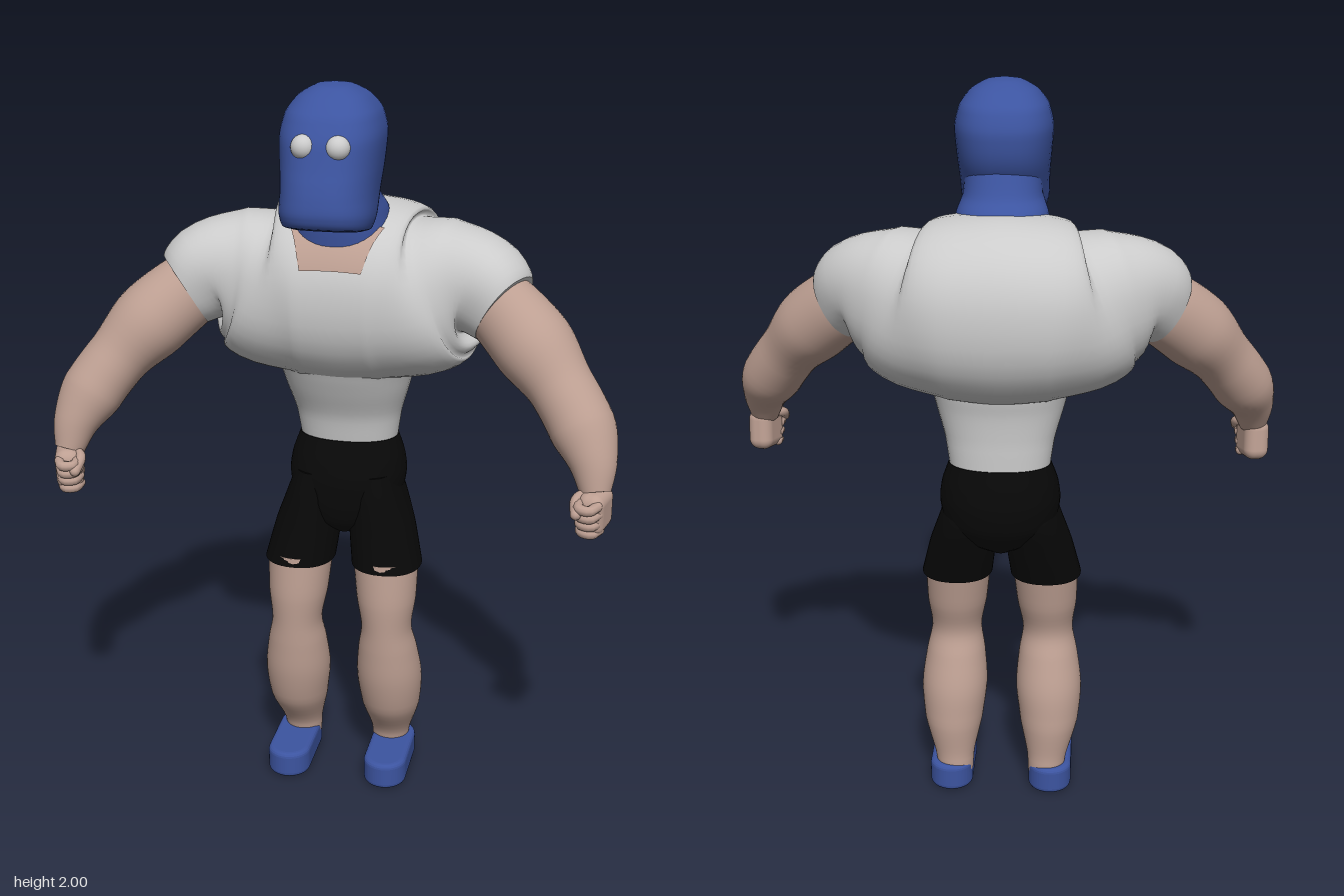
import * as THREE from 'three';
import { ParametricGeometry } from 'three/addons/geometries/ParametricGeometry.js';
import { RoundedBoxGeometry } from 'three/addons/geometries/RoundedBoxGeometry.js';

const mat = (color) => new THREE.MeshStandardMaterial({ color, roughness: 0.8 });
const V = (x, y, z) => new THREE.Vector3(x, y, z);

// Smooth skin through elliptical sections [x, y, z, a, b]; returns point(u, angle, grow).
// level: rings stay horizontal (a along x, b along z); otherwise they follow the path.
function surface(sections, { level = false, n = 2 } = {}) {
  const path = new THREE.CatmullRomCurve3(sections.map((s) => V(s[0], s[1], s[2])));
  const radii = new THREE.CatmullRomCurve3(sections.map((s) => V(s[3], s[4], 0)));
  const bend = (c) => Math.sign(c) * Math.abs(c) ** (2 / n);
  return (u, angle, grow = 1) => {
    const t = level ? V(0, 1, 0) : path.getTangent(u);
    const side = (level ? V(0, 0, 1) : V(0, 1, 0)).cross(t).normalize();
    const up = t.clone().cross(side);
    const r = radii.getPoint(u);
    return path.getPoint(u)
      .addScaledVector(side, r.x * grow * bend(Math.cos(angle)))
      .addScaledVector(up, r.y * grow * bend(Math.sin(angle)));
  };
}

// Closed solid from a surface, with sharp-edged flat ends.
function loft(sections, opts = {}) {
  const point = surface(sections, opts);
  const around = 40, along = (sections.length - 1) * 5;
  const rows = [[0, 0], [0, 1]];
  for (let i = 0; i <= along; i++) rows.push([i / along, 1]);
  rows.push([1, 1], [1, 0]);
  const pos = [], index = [];
  rows.forEach(([u, grow], i) => {
    for (let j = 0; j < around; j++) {
      pos.push(...point(u, (j / around) * Math.PI * 2, grow).toArray());
      if (i === rows.length - 1) continue;
      const a = i * around + j, b = i * around + ((j + 1) % around);
      index.push(a, b, b + around, a, b + around, a + around);
    }
  });
  const g = new THREE.BufferGeometry();
  g.setAttribute('position', new THREE.Float32BufferAttribute(pos, 3));
  g.setIndex(index);
  g.computeVertexNormals();
  return g;
}

// Horizontal rings listed bottom to top as [y, centreX, halfWidth, zBack, zFront].
const stack = (rings, n = 2.2) => loft(
  rings.map(([y, x, w, z0, z1]) => [x, y, (z0 + z1) / 2, w, (z1 - z0) / 2]),
  { level: true, n });

export function createModel() {
  const model = new THREE.Group();
  const shirt = mat(0xcccccc), skin = mat(0xbd9f92), blue = mat(0x3c54a0), black = mat(0x080808);
  const white = mat(0xcccccc);
  const add = (name, geometry, material) => {
    const m = new THREE.Mesh(geometry, material);
    m.name = name;
    model.add(m);
    return m;
  };

  // Chest and sleeves: one sweep from sleeve to sleeve
  const half = [
    [0, 1.43, -0.08, 0.25, 0.25], [0.12, 1.43, -0.075, 0.245, 0.24],
    [0.22, 1.43, -0.06, 0.21, 0.215], [0.3, 1.455, -0.045, 0.16, 0.18],
    [0.37, 1.46, -0.02, 0.125, 0.14], [0.43, 1.42, 0.01, 0.097, 0.106],
  ];
  const chest = [...half.slice(1).reverse().map(([x, ...r]) => [-x, ...r]), ...half];
  add('chestAndSleeves', loft(chest, { n: 2.2 }), shirt);
  add('waist', stack([
    [1.0, 0, 0.135, -0.185, -0.005], [1.08, 0, 0.147, -0.185, 0.01],
    [1.16, 0, 0.17, -0.19, 0.045], [1.22, 0, 0.187, -0.2, 0.07],
    [1.31, 0, 0.23, -0.2, 0.1], [1.4, 0, 0.2, -0.2, 0.08],
  ]), shirt);

  // Open neckline: a patch lying on the chest, narrower at the bottom
  const chestPoint = surface(chest, { n: 2.2 });
  const neckline = skin.clone();
  neckline.side = THREE.DoubleSide;
  add('neckline', new ParametricGeometry((u, v, target) => {
    const width = 0.08 + 0.035 * v;
    target.copy(chestPoint(0.5 + (u * 2 - 1) * width, Math.PI - 0.38 - 0.6 * v, 1.012));
  }, 20, 10), neckline);

  // Neck and masked head
  add('neck', stack([
    [1.575, 0, 0.135, -0.12, 0.125], [1.62, 0, 0.13, -0.125, 0.13],
    [1.67, 0, 0.12, -0.115, 0.135], [1.71, 0, 0.105, -0.075, 0.15],
    [1.78, 0, 0.1, -0.045, 0.18],
  ]), blue);
  const head = stack([
    [1.638, 0, 0.09, 0.08, 0.26], [1.645, 0, 0.108, 0.06, 0.295],
    [1.68, 0, 0.118, 0.03, 0.308], [1.74, 0, 0.12, -0.02, 0.302],
    [1.8, 0, 0.125, -0.06, 0.288], [1.87, 0, 0.13, -0.07, 0.268],
    [1.93, 0, 0.118, -0.05, 0.235], [1.97, 0, 0.087, -0.005, 0.19],
    [1.993, 0, 0.045, 0.045, 0.145], [2.0, 0, 0.004, 0.09, 0.1],
  ], 2.5);
  // Tilt the jaw so the chin rises toward the front
  const p = head.attributes.position;
  for (let i = 0; i < p.count; i++) {
    const k = THREE.MathUtils.clamp((1.8 - p.getY(i)) / 0.15, 0, 1);
    p.setY(i, p.getY(i) + 0.18 * k * (p.getZ(i) - 0.13));
  }
  head.computeVertexNormals();
  add('head', head, blue);

  // Hips of the shorts
  add('shortsHips', stack([
    [0.74, 0, 0.03, -0.1, 0.0], [0.78, 0, 0.1, -0.165, 0.045],
    [0.84, 0, 0.152, -0.208, 0.056], [0.9, 0, 0.163, -0.216, 0.053],
    [0.95, 0, 0.158, -0.208, 0.035], [1.01, 0, 0.138, -0.188, 0.0],
  ]), black);

  for (const s of [1, -1]) {
    const side = s > 0 ? 'left' : 'right';
    const put = (name, geometry, material) => add(side + name, geometry, material);
    const mirrored = (rings) => rings.map(([y, x, ...r]) => [y, s * x, ...r]);

    put('Eye', new THREE.SphereGeometry(0.031, 24, 16), white).position.set(s * 0.043, 1.865, 0.25);

    put('ShortsLeg', stack(mirrored([
      [0.655, 0.124, 0.098, -0.118, 0.086], [0.76, 0.105, 0.091, -0.155, 0.068],
      [0.85, 0.09, 0.075, -0.18, 0.055], [0.92, 0.08, 0.06, -0.16, 0.035],
    ])), black);
    put('Leg', stack(mirrored([
      [0.05, 0.13, 0.05, -0.12, -0.02], [0.1, 0.133, 0.056, -0.117, -0.01],
      [0.2, 0.137, 0.083, -0.122, 0.055], [0.3, 0.135, 0.093, -0.112, 0.08],
      [0.4, 0.132, 0.083, -0.083, 0.088], [0.47, 0.13, 0.071, -0.062, 0.09],
      [0.56, 0.127, 0.084, -0.085, 0.093], [0.68, 0.122, 0.092, -0.108, 0.083],
    ]), 2), skin);

    // Shoe: round-ended sole outline with softened edges
    const r = 0.047, shape = new THREE.Shape();
    shape.absarc(0, 0.078, r, 0, Math.PI);
    shape.absarc(0, -0.068, r, Math.PI, Math.PI * 2);
    const shoe = new THREE.ExtrudeGeometry(shape, {
      depth: 0.05, bevelSize: 0.014, bevelThickness: 0.014, bevelSegments: 4, curveSegments: 16,
    });
    shoe.rotateX(-Math.PI / 2).translate(s * 0.142, 0.014, 0.008);
    put('Shoe', shoe, blue);

    // Arm from inside the sleeve to the wrist
    put('Arm', loft([
      [0.39, 1.44, -0.01, 0.09, 0.095], [0.44, 1.405, 0.015, 0.098, 0.102],
      [0.515, 1.34, 0.06, 0.108, 0.105], [0.595, 1.25, 0.11, 0.088, 0.084],
      [0.655, 1.165, 0.155, 0.088, 0.083], [0.69, 1.09, 0.2, 0.064, 0.06],
      [0.702, 1.02, 0.23, 0.04, 0.04],
    ].map(([x, ...q]) => [s * x, ...q])), skin);

    // Fist: palm, curled fingers and thumb
    const hand = new THREE.Group();
    hand.name = side + 'Hand';
    hand.position.set(s * 0.703, 0.975, 0.235);
    hand.rotation.set(0.1, -s * 0.3, 0);
    const part = (name, geometry) => {
      const m = new THREE.Mesh(geometry, skin);
      m.name = name;
      hand.add(m);
    };
    part('palm', new RoundedBoxGeometry(0.072, 0.118, 0.11, 5, 0.03));
    const digit = (pts, radius) => {
      const curve = new THREE.CatmullRomCurve3(pts.map(([x, y, z]) => V(s * x, y, z)));
      part('digit', new THREE.TubeGeometry(curve, 12, radius, 10));
      for (const e of [0, 1]) {
        const end = curve.getPoint(e);
        part('digitTip', new THREE.SphereGeometry(radius, 10, 8).translate(end.x, end.y, end.z));
      }
    };
    for (let i = 0; i < 4; i++) {
      const y = 0.034 - i * 0.026, z = 0.072 - i * 0.008;
      digit([[0.022, y, z - 0.03], [0.012, y, z], [-0.015, y, z], [-0.026, y, z - 0.025]], 0.0135);
    }
    digit([[-0.02, 0.045, 0.0], [-0.035, 0.04, 0.04], [-0.02, 0.02, 0.08]], 0.014);
    model.add(hand);
  }
  return model;
}
